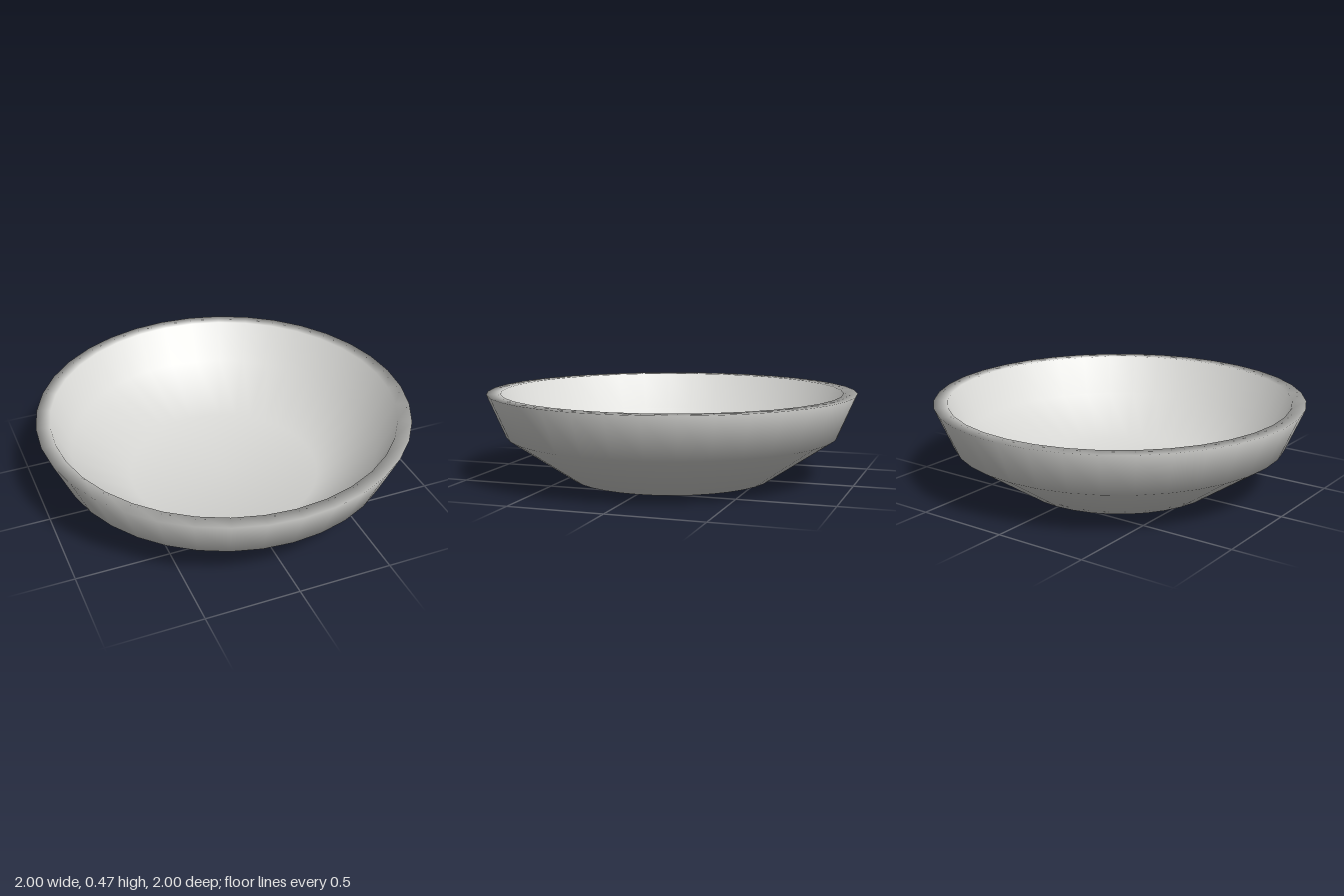
import * as THREE from 'three';

export function createModel() {
  const group = new THREE.Group();
  const ceramic = new THREE.MeshStandardMaterial({ color: 0xd9d9d6 });
  ceramic.name = 'pale grey ceramic';

  // Closed cross-section: underside, outer wall, flat rim, inner wall, floor
  const profile = [
    [0, 0], [0.55, 0], [0.9, 0.235], [1, 0.467],
    [0.925, 0.467], [0.83, 0.26], [0.52, 0.06], [0, 0.06],
  ].map(([r, y]) => new THREE.Vector2(r, y));

  // Smooth normals run over the whole turned body
  const bowl = new THREE.Mesh(new THREE.LatheGeometry(profile, 36), ceramic);
  bowl.name = 'bowl';
  group.add(bowl);
  return group;
}
